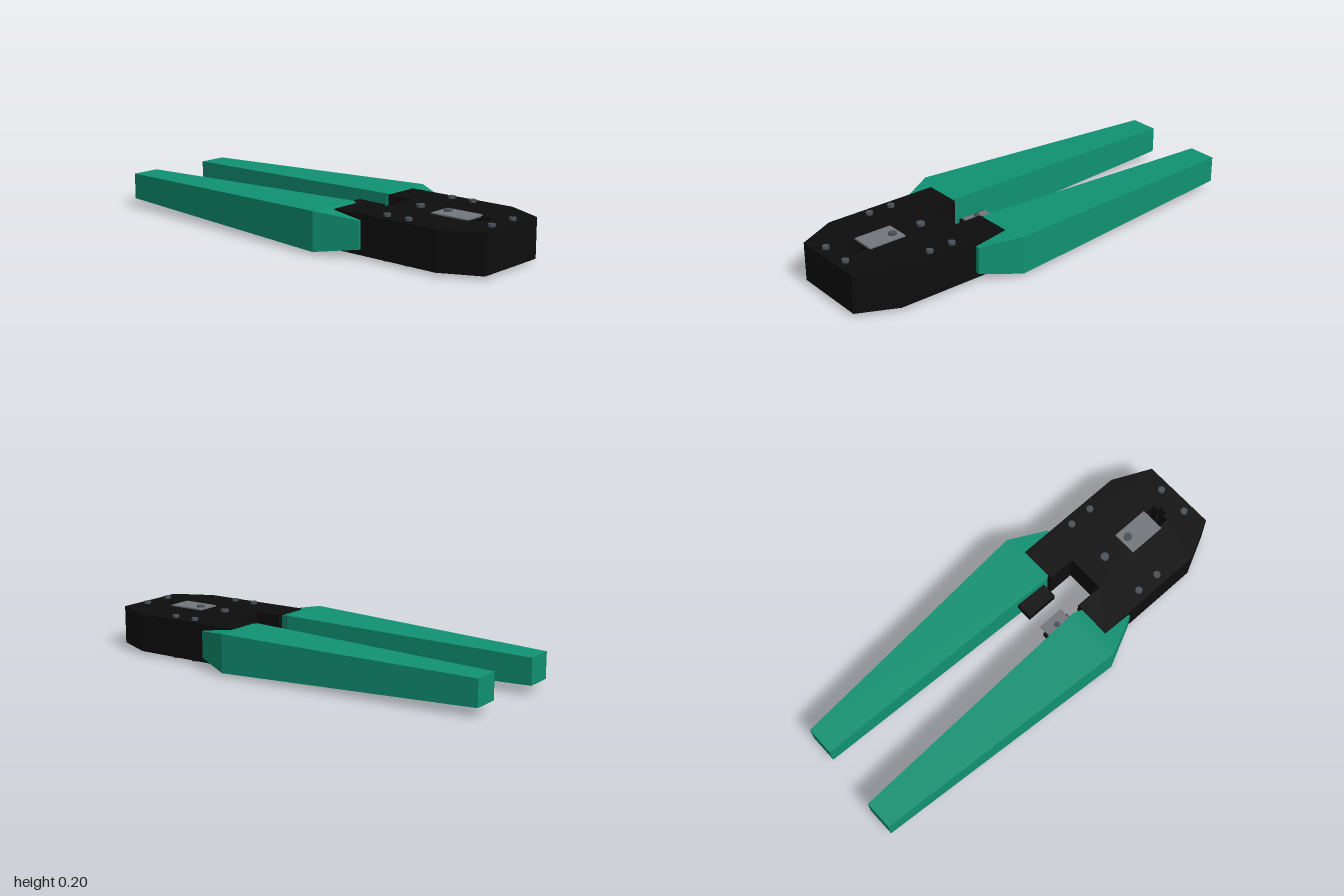
import * as THREE from 'three';

const mat = (name, color) => Object.assign(new THREE.MeshStandardMaterial({ color }), { name });

export function createModel() {
  const group = new THREE.Group();
  const black = mat('black metal', 0x0d0d0d);
  const green = mat('green grip', 0x109273);
  const grey = mat('grey plate', 0x73777b);
  const steel = mat('dark steel', 0x485057);

  const add = (name, geometry, material) => {
    const mesh = new THREE.Mesh(geometry, material);
    mesh.name = name;
    group.add(mesh);
    return mesh;
  };
  // Box given by its minimum and maximum corners
  const box = (name, material, [x0, y0, z0], [x1, y1, z1]) =>
    add(name, new THREE.BoxGeometry(x1 - x0, y1 - y0, z1 - z0), material)
      .position.set((x0 + x1) / 2, (y0 + y1) / 2, (z0 + z1) / 2);
  const points = (list) => list.map(([x, z]) => new THREE.Vector2(x, z));

  // Head: chamfered block with a jaw notch at the back and a stepped slot
  const outline = new THREE.Shape(points([
    [-0.18, 1], [-0.268, 0.82], [-0.268, 0.28], [-0.09, 0.28], [-0.09, 0.41],
    [0.09, 0.41], [0.09, 0.28], [0.262, 0.28], [0.262, 0.82], [0.177, 1],
  ]));
  outline.holes.push(new THREE.Path(points([
    [-0.057, 0.8], [0.035, 0.8], [0.035, 0.872], [0.008, 0.872],
    [0.008, 0.89], [-0.03, 0.89], [-0.03, 0.872], [-0.057, 0.872],
  ])));
  const head = new THREE.ExtrudeGeometry(outline, { depth: 0.178, bevelEnabled: false });
  head.rotateX(Math.PI / 2).translate(0, 0.193, 0);
  add('head', head, black);

  box('headPlate', grey, [-0.07, 0.19, 0.64], [0.045, 0.199, 0.82]);

  // Screws and pivots run through the head and stand out on both faces
  const screws = [
    [-0.222, 0.53], [0.219, 0.53], [-0.222, 0.643], [0.219, 0.643],
    [-0.08, 0.955], [0.067, 0.955],
  ];
  const pin = (name, x, z, r, y0, y1) =>
    add(name, new THREE.CylinderGeometry(r, r, y1 - y0, 16), steel)
      .position.set(x, (y0 + y1) / 2, z);
  screws.forEach(([x, z]) => pin('screw', x, z, 0.016, 0.002, 0.205));
  [0.53, 0.675].forEach((z) => pin('pivot', 0, z, 0.019, 0.004, 0.206));

  // Grip: four-sided loft through sections [x0, x1, y0, y1, z], back to front
  const grip = (name, sections) => {
    const loops = sections.map(([x0, x1, y0, y1, z]) =>
      [[x0, y0, z], [x1, y0, z], [x1, y1, z], [x0, y1, z]]);
    const pos = [];
    const quad = (a, b, c, d) => pos.push(...a, ...b, ...c, ...a, ...c, ...d);
    for (let s = 0; s < loops.length - 1; s++) {
      for (let i = 0; i < 4; i++) {
        const j = (i + 1) % 4;
        quad(loops[s][i], loops[s][j], loops[s + 1][j], loops[s + 1][i]);
      }
    }
    const [a, b, c, d] = loops[0];
    quad(a, d, c, b);
    quad(...loops[loops.length - 1]);
    const geometry = new THREE.BufferGeometry();
    geometry.setAttribute('position', new THREE.Float32BufferAttribute(pos, 3));
    geometry.computeVertexNormals();
    add(name, geometry, green);
  };
  grip('rightHandle', [
    [-0.28, -0.143, 0.043, 0.165, -1],
    [-0.364, -0.103, 0.015, 0.193, 0.24],
    [-0.278, -0.16, 0.041, 0.166, 0.425],
  ]);
  grip('leftHandle', [
    [0.142, 0.278, 0.043, 0.165, -0.975],
    [0.102, 0.362, 0.015, 0.193, 0.258],
    [0.16, 0.28, 0.041, 0.166, 0.437],
  ]);

  // Jaw blocks between the handles, the right one carrying a small plate
  box('rightJaw', black, [-0.13, 0.05, 0.105], [-0.055, 0.085, 0.245]);
  box('jawPlate', grey, [-0.09, 0.085, 0.113], [-0.024, 0.094, 0.24]);
  pin('jawScrew', -0.068, 0.175, 0.013, 0.08, 0.1);
  box('leftJaw', black, [0.03, 0.1, 0.097], [0.13, 0.142, 0.25]);

  return group;
}
